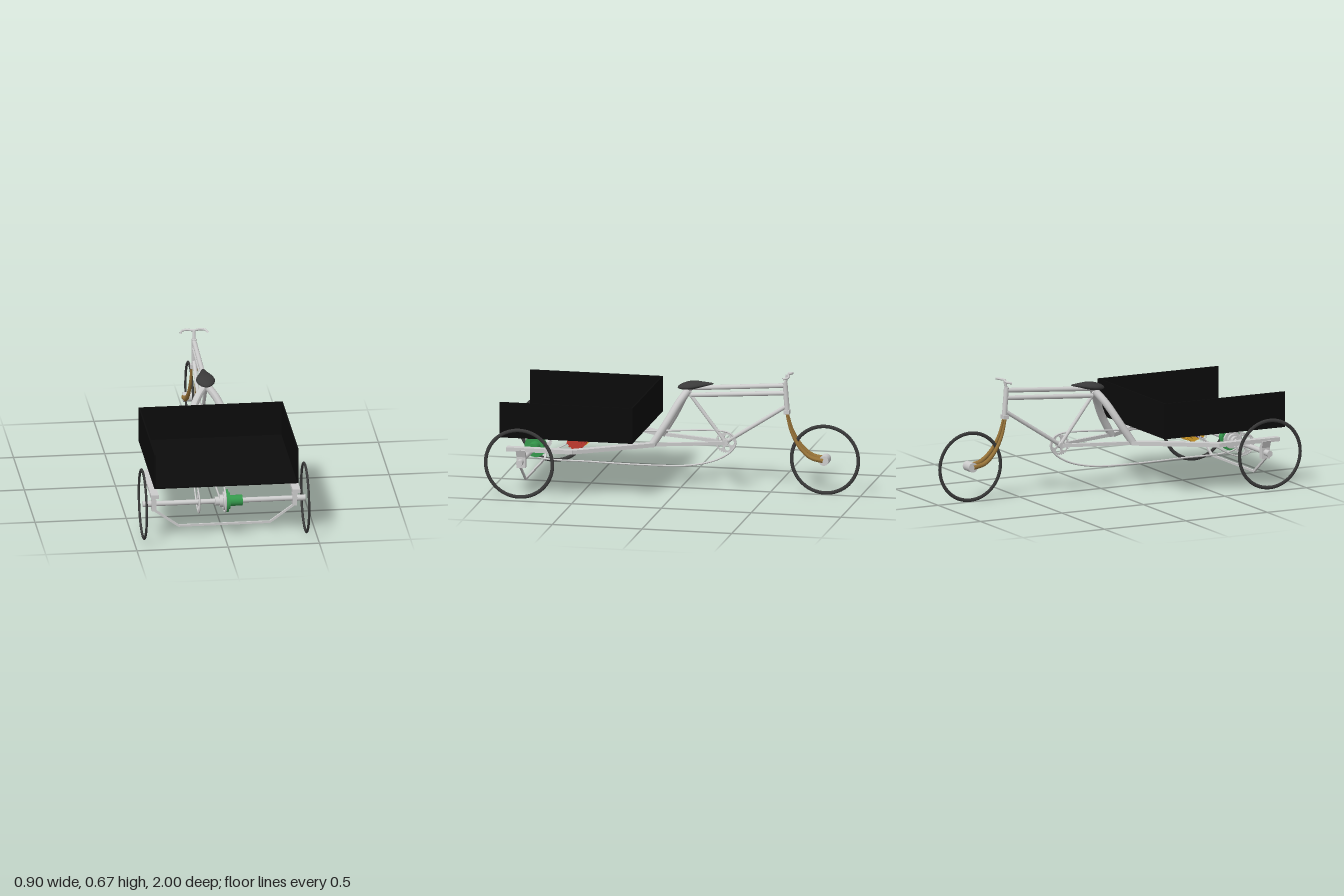
import * as THREE from 'three';

const V = (x, y, z) => new THREE.Vector3(x, y, z);
const mat = (color) => new THREE.MeshStandardMaterial({ color, side: THREE.DoubleSide });
const GREY = mat(0xcccccc), BLACK = mat(0x0b0b0b), TYRE = mat(0x3a3a3a), RED = mat(0xc23a2e);
const YELLOW = mat(0xe0a528), GREEN = mat(0x35994c), BROWN = mat(0x967238), PURPLE = mat(0x35257a);

export function createModel() {
  const root = new THREE.Group();

  const add = (name, geo, material = GREY) => {
    const m = new THREE.Mesh(geo, material);
    m.name = name;
    root.add(m);
    return m;
  };
  const box = (name, w, h, d, x, y, z, material) => {
    const m = add(name, new THREE.BoxGeometry(w, h, d), material);
    m.position.set(x, y, z);
    return m;
  };
  // Round bar between two points
  const rod = (name, a, b, r, material) => {
    const m = add(name, new THREE.CylinderGeometry(r, r, a.distanceTo(b), 20), material);
    m.position.copy(a).lerp(b, 0.5);
    m.quaternion.setFromUnitVectors(V(0, 1, 0), b.clone().sub(a).normalize());
    return m;
  };
  // Square bar between two points, w sideways and h upwards
  const beam = (name, a, b, w, h, material) => {
    const m = box(name, w, h, a.distanceTo(b) + w * 0.3, 0, 0, 0, material);
    m.position.copy(a).lerp(b, 0.5);
    m.lookAt(b);
    return m;
  };
  // Drum along x from x0 to x1
  const drum = (name, x0, x1, r, y, z, material) => rod(name, V(x0, y, z), V(x1, y, z), r, material);
  // Curved tube whose radius follows a rule of t
  const tube = (name, pts, radius, material, closed = false, n = 40) => {
    const curve = new THREE.CatmullRomCurve3(pts, closed, 'centripetal');
    const geo = new THREE.TubeGeometry(curve, n, 1, 12, closed);
    const p = geo.attributes.position, v = V(0, 0, 0);
    for (let i = 0; i < p.count; i++) {
      const t = Math.floor(i / 13) / n, c = curve.getPointAt(t);
      v.fromBufferAttribute(p, i).sub(c).multiplyScalar(radius(t)).add(c);
      p.setXYZ(i, v.x, v.y, v.z);
    }
    geo.computeVertexNormals();
    return add(name, geo, material);
  };
  // Toothed chain wheel with round windows, facing along x
  const sprocket = (name, r, teeth, x, y, z, material) => {
    const s = new THREE.Shape();
    for (let i = 0; i < teeth * 4; i++) {
      const a = (i / (teeth * 4)) * Math.PI * 2, q = i % 4 < 2 ? r : r * 0.9;
      s[i ? 'lineTo' : 'moveTo'](q * Math.cos(a), q * Math.sin(a));
    }
    for (let i = 0; i < 5; i++) {
      const a = (i / 5) * Math.PI * 2, hole = new THREE.Path();
      hole.absarc(r * 0.57 * Math.cos(a), r * 0.57 * Math.sin(a), r * 0.25, 0, Math.PI * 2, true);
      s.holes.push(hole);
    }
    const geo = new THREE.ExtrudeGeometry(s, { depth: 0.006, bevelEnabled: false, curveSegments: 8 });
    geo.translate(0, 0, -0.003).rotateY(Math.PI / 2);
    add(name, geo, material).position.set(x, y, z);
  };

  // Wheels
  for (const [name, x, z] of [['frontWheel', 0, -0.803], ['rearWheelLeft', 0.445, 0.805], ['rearWheelRight', -0.445, 0.805]]) {
    const geo = new THREE.TorusGeometry(0.186, 0.01, 10, 64).scale(1, 1, 0.65).rotateY(Math.PI / 2);
    add(name, geo, TYRE).position.set(x, 0.2, z);
  }

  // Open cargo tray without a tailgate
  box('trayFloor', 0.79, 0.008, 0.74, 0, 0.334, 0.555, BLACK);
  box('trayFrontWall', 0.79, 0.197, 0.008, 0, 0.4285, 0.189, BLACK);
  for (const s of [-1, 1]) box('traySideWall', 0.008, 0.197, 0.74, s * 0.391, 0.4285, 0.555, BLACK);

  for (const s of [-1, 1]) {
    // Chassis rails running back from the crank
    const rail = [V(s * 0.015, 0.268, -0.25), V(s * 0.13, 0.268, 0.13), V(s * 0.388, 0.268, 0.52), V(s * 0.388, 0.268, 0.88)];
    beam('chainStay', rail[0], rail[1], 0.018, 0.018);
    beam('chassisRail', rail[1], rail[2], 0.04, 0.022);
    beam('chassisRail', rail[2], rail[3], 0.042, 0.022);
    // Bowed legs under the saddle
    tube('seatLeg', [V(s * 0.008, 0.55, -0.04), V(s * 0.055, 0.49, 0), V(s * 0.1, 0.39, 0.055), V(s * 0.128, 0.268, 0.13)], () => 0.021);
    // Axle brackets and rear hubs
    beam('axleBracket', V(s * 0.4, 0.262, 0.805), V(s * 0.386, 0.225, 0.805), 0.05, 0.022);
    box('axleBracket', 0.024, 0.066, 0.05, s * 0.386, 0.198, 0.805);
    drum('rearHub', s * 0.4, s * 0.446, 0.017, 0.2, 0.805);
    // Sloping ends of the low bar
    beam('lowBarEnd', V(s * 0.388, 0.168, 0.81), V(s * 0.25, 0.069, 0.81), 0.01, 0.012);
    // Front fork blades
    tube('forkBlade', [V(s * 0.012, 0.465, -0.588), V(s * 0.016, 0.35, -0.62), V(s * 0.022, 0.265, -0.67), V(s * 0.028, 0.215, -0.73), V(s * 0.031, 0.2, -0.8)],
      (t) => 0.006 + 0.008 * t, BROWN);
  }
  beam('lowBar', V(-0.25, 0.069, 0.81), V(0.25, 0.069, 0.81), 0.01, 0.012);
  drum('rearAxle', -0.44, 0.44, 0.014, 0.2, 0.805);
  drum('frontHub', -0.036, 0.036, 0.027, 0.2, -0.803);

  // Main frame tubes
  rod('upperTopTube', V(0, 0.562, -0.03), V(0, 0.604, -0.58), 0.013);
  rod('lowerTopTube', V(0, 0.525, -0.06), V(0, 0.562, -0.585), 0.013);
  rod('seatTube', V(0, 0.55, -0.035), V(0, 0.27, -0.25), 0.01);
  rod('downTube', V(0, 0.27, -0.25), V(0, 0.49, -0.59), 0.011);
  rod('headTube', V(0, 0.45, -0.594), V(0, 0.62, -0.58), 0.014);
  rod('handlebarStem', V(0, 0.61, -0.581), V(0, 0.664, -0.592), 0.008);
  box('forkCrown', 0.042, 0.022, 0.03, 0, 0.458, -0.592);
  drum('crankShell', -0.025, 0.025, 0.018, 0.27, -0.25);

  // Handlebar with hooked grips
  tube('handlebar', [V(-0.074, 0.656, -0.585), V(-0.064, 0.66, -0.607), V(-0.04, 0.664, -0.61), V(0, 0.664, -0.598),
    V(0.04, 0.664, -0.61), V(0.064, 0.66, -0.607), V(0.074, 0.656, -0.585)], () => 0.0065);

  // Saddle: a ball drawn out to a nose
  const seat = new THREE.SphereGeometry(1, 32, 20);
  const sp = seat.attributes.position;
  for (let i = 0; i < sp.count; i++) {
    const z = sp.getZ(i), k = THREE.MathUtils.smoothstep(z, -0.9, 0.45);
    const bottom = sp.getY(i) < 0 ? 0.7 : 1;
    sp.setXYZ(i, sp.getX(i) * (0.02 + 0.036 * k), sp.getY(i) * (0.014 + 0.014 * k) * bottom + 0.58 - 0.014 * z, -0.083 + 0.1 * z);
  }
  seat.computeVertexNormals();
  add('saddle', seat, TYRE);

  // Chain wheels and hanging drive chain
  sprocket('crankSprocket', 0.058, 28, 0.005, 0.27, -0.25);
  sprocket('axleSprocket', 0.06, 30, -0.14, 0.2, 0.805);
  sprocket('motorSprocket', 0.028, 14, -0.14, 0.272, 0.55);
  tube('driveChain', [V(0.005, 0.332, -0.24), V(0.005, 0.315, 0.15), V(0.005, 0.296, 0.55), V(0.005, 0.262, 0.8), V(0.005, 0.235, 0.855),
    V(0.005, 0.165, 0.855), V(0.005, 0.135, 0.8), V(0.005, 0.125, 0.5), V(0.005, 0.122, 0.15), V(0.005, 0.132, -0.05), V(0.005, 0.17, -0.2),
    V(0.005, 0.225, -0.285), V(0.005, 0.27, -0.308), V(0.005, 0.315, -0.285)], () => 0.005, GREY, true, 120);
  tube('motorChain', [V(-0.14, 0.302, 0.55), V(-0.14, 0.262, 0.8), V(-0.14, 0.235, 0.855), V(-0.14, 0.165, 0.855), V(-0.14, 0.138, 0.8),
    V(-0.14, 0.145, 0.74), V(-0.14, 0.247, 0.56), V(-0.14, 0.272, 0.522)], () => 0.004, GREY, true, 80);

  // Axle drive: green hub with flange and freewheel
  drum('driveHub', 0.02, 0.1, 0.03, 0.2, 0.805, GREEN);
  drum('driveHubFlange', 0.01, 0.022, 0.062, 0.2, 0.805, GREEN);
  drum('driveHubStep', 0.022, 0.032, 0.045, 0.2, 0.805, GREEN);
  drum('freewheelDisc', -0.006, 0.008, 0.05, 0.2, 0.805);
  drum('freewheelStep', -0.025, -0.006, 0.034, 0.2, 0.805);
  drum('freewheelBody', -0.05, -0.025, 0.024, 0.2, 0.805);

  // Motor with a ribbed shell
  const my = 0.278, mz = 0.55;
  drum('motor', 0.067, 0.165, 0.05, my, mz, RED);
  drum('motorEndCap', 0.165, 0.169, 0.036, my, mz, RED);
  drum('motorShaft', 0.04, 0.07, 0.018, my, mz, RED);
  for (let i = 0; i < 16; i++) {
    const a = (i / 16) * Math.PI * 2;
    box('motorRib', 0.094, 0.01, 0.008, 0.116, my + 0.05 * Math.cos(a), mz + 0.05 * Math.sin(a), RED).rotation.x = a;
  }

  // Gearbox with lobed casing, clutch spring and mounting bracket
  for (const [x0, x1, r] of [[-0.072, -0.038, 0.036], [-0.038, 0, 0.05], [0, 0.012, 0.038], [0.012, 0.036, 0.05], [0.036, 0.048, 0.056]])
    drum('gearbox', x0, x1, r, 0.272, mz, YELLOW);
  for (let i = 0; i < 8; i++) {
    const a = (i / 8) * Math.PI * 2;
    drum('gearboxLobe', -0.036, -0.002, 0.012, 0.272 + 0.046 * Math.cos(a), mz + 0.046 * Math.sin(a), YELLOW);
  }
  drum('clutchShaft', -0.145, -0.07, 0.01, 0.272, mz, YELLOW);
  const coil = [];
  for (let i = 0; i <= 48; i++) {
    const a = (i / 12) * Math.PI * 2;
    coil.push(V(-0.132 + 0.06 * (i / 48), 0.272 + 0.016 * Math.cos(a), mz + 0.016 * Math.sin(a)));
  }
  tube('clutchSpring', coil, () => 0.0035, PURPLE, false, 120);
  box('gearboxBracket', 0.09, 0.018, 0.03, -0.083, 0.32, mz, YELLOW);
  drum('bracketPost', -0.125, -0.1, 0.016, 0.3, mz - 0.02);
  return root;
}
